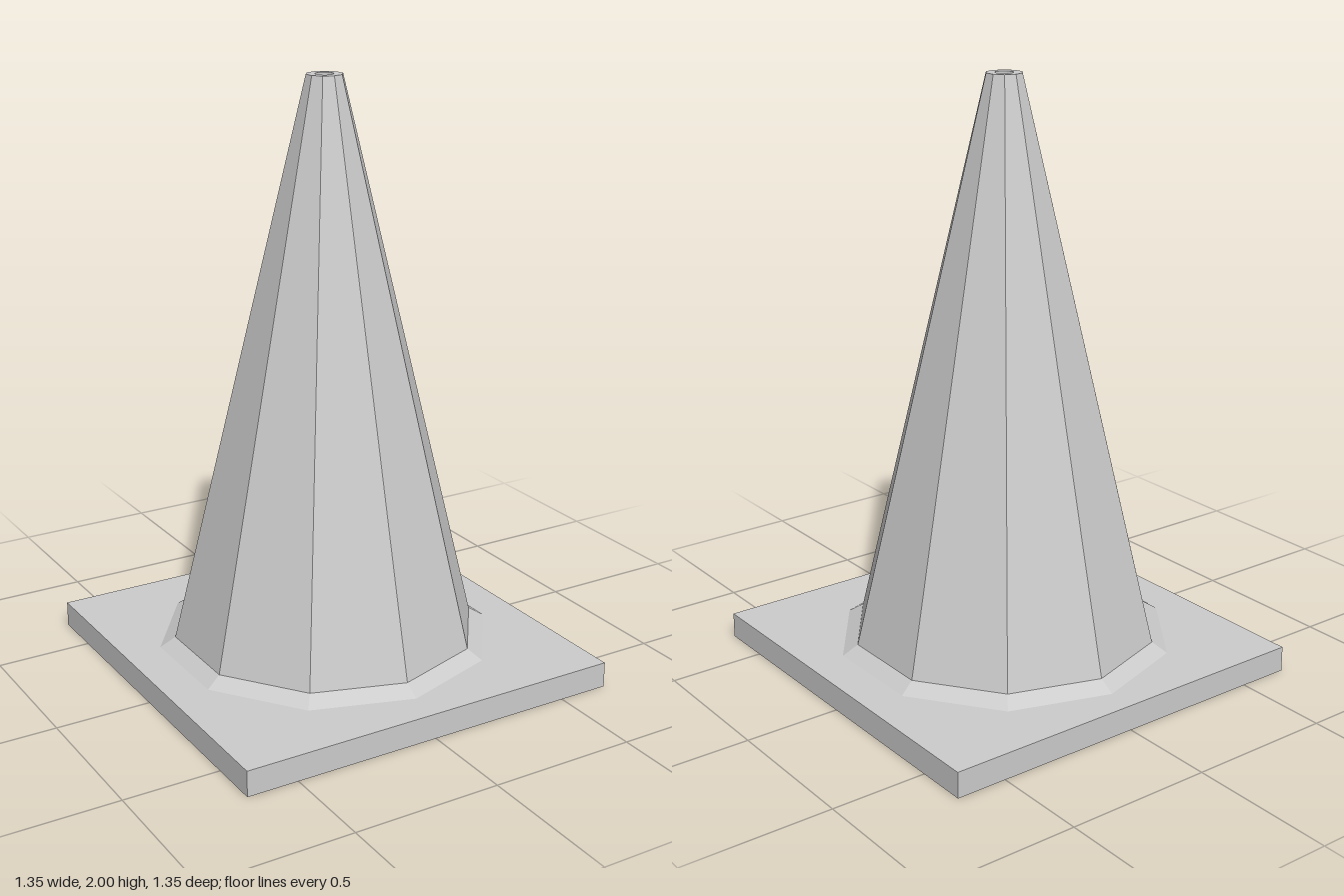
import * as THREE from 'three';

const SIDES = 10;
const AXIS_Z = -0.01; // the cone sits slightly behind the centre of the base

export function createModel() {
  const model = new THREE.Group();
  model.name = 'trafficCone';
  const material = new THREE.MeshStandardMaterial({ color: 0xcccccc, flatShading: true });

  const add = (name, geometry, y = 0, z = 0) => {
    const mesh = new THREE.Mesh(geometry, material);
    mesh.name = name;
    mesh.position.set(0, y, z);
    model.add(mesh);
    return mesh;
  };
  const lathe = (points, sides) =>
    new THREE.LatheGeometry(points.map(([r, y]) => new THREE.Vector2(r, y)), sides);

  // Square base slab
  add('base', new THREE.BoxGeometry(1.35, 0.087, 1.35), 0.0435);

  // Sloped collar and ten-sided body
  add('collar', lathe([[0.57, 0.087], [0.518, 0.12]], SIDES), 0, AXIS_Z);
  add('body', lathe([[0.518, 0.12], [0.06, 2]], SIDES), 0, AXIS_Z);

  // Flat rim around the hole at the tip
  const rim = new THREE.Shape();
  for (let i = 0; i < SIDES; i++) {
    const a = (i / SIDES) * Math.PI * 2;
    const x = Math.sin(a) * 0.06, y = Math.cos(a) * 0.06;
    if (i === 0) rim.moveTo(x, y);
    else rim.lineTo(x, y);
  }
  rim.closePath();
  const hole = new THREE.Path();
  hole.absarc(0, 0, 0.03, 0, Math.PI * 2, true);
  rim.holes.push(hole);
  add('rim', new THREE.ShapeGeometry(rim, 10).rotateX(-Math.PI / 2), 2, AXIS_Z);

  // Blind hole: wall facing the axis, floor facing up
  add('tipHole', lathe([[0.03, 2], [0.03, 1.9], [0, 1.9]], 20), 0, AXIS_Z);

  return model;
}
